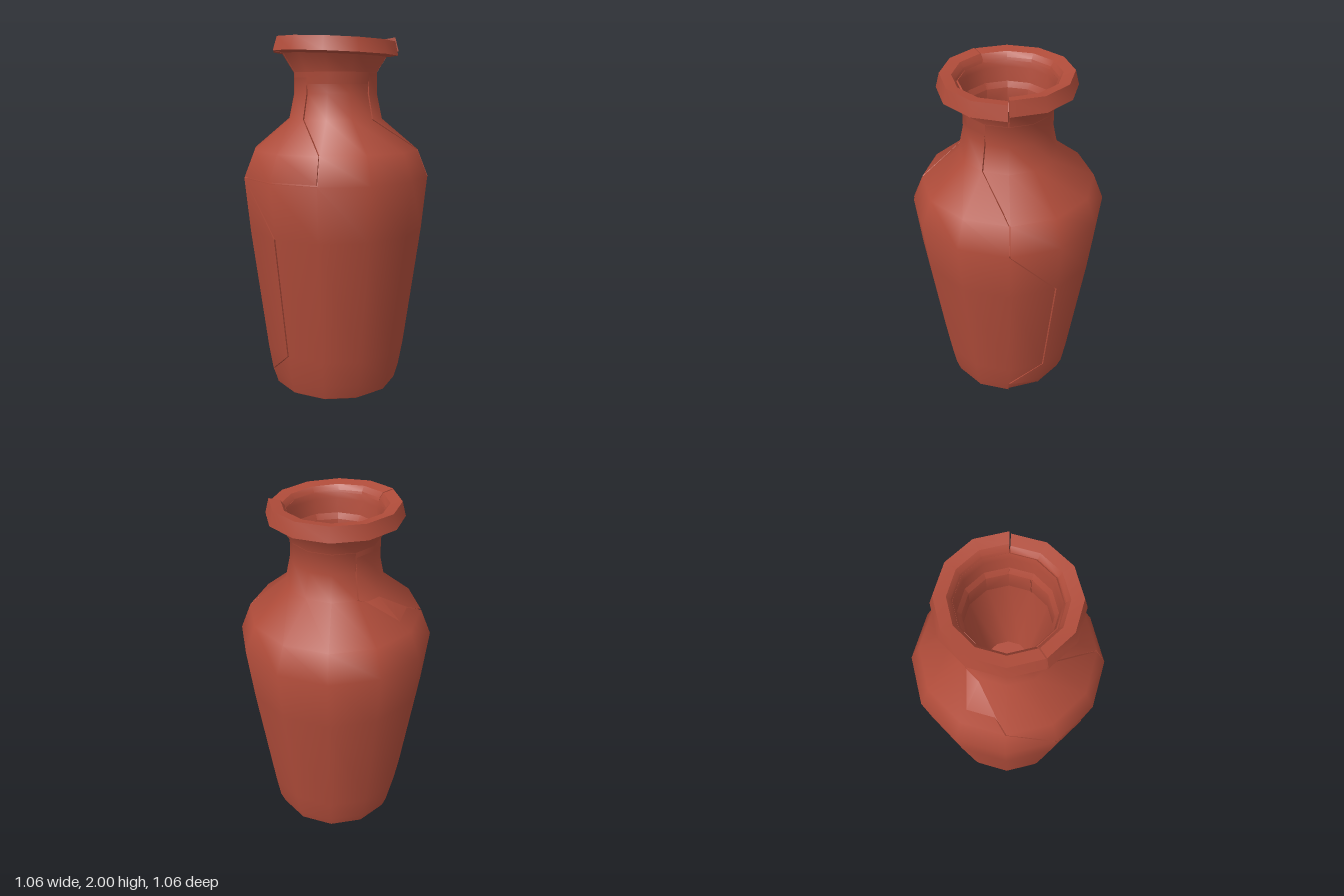
import * as THREE from 'three';
import { toCreasedNormals } from 'three/addons/utils/BufferGeometryUtils.js';

const SIDES = 12, STEP = (Math.PI * 2) / SIDES;
const clay = new THREE.MeshStandardMaterial({ color: 0xb04c3a, side: THREE.DoubleSide });

// Outer profile rings: [radius, height]
const RINGS = [
  [0.36, 0.015], [0.385, 0.1], [0.41, 0.25], [0.5, 0.94], [0.53, 1.24],
  [0.47, 1.39], [0.265, 1.56], [0.235, 1.7], [0.235, 1.81], [0.305, 1.92],
];
// Smooth profile normals, averaged from neighbouring segments
const NORMALS = RINGS.map((_, i) => {
  const n = new THREE.Vector2();
  for (const k of [i - 1, i]) {
    if (k < 0 || k + 1 >= RINGS.length) continue;
    const [r0, y0] = RINGS[k], [r1, y1] = RINGS[k + 1];
    n.add(new THREE.Vector2(y1 - y0, r0 - r1).normalize());
  }
  return n.normalize();
});

const corner = (r, col, y) =>
  new THREE.Vector3(r * Math.sin(col * STEP), y, r * Math.cos(col * STEP));

// A curved shard; each row is [ring, first column, last column, lift in y]
function shard(name, rows, puff = 0) {
  const pos = [], nor = [], idx = [];
  const add = (p, n) => { pos.push(...p.toArray()); nor.push(...n.toArray()); return pos.length / 3 - 1; };
  const grid = rows.map(([ring, a, b, lift = 0]) => {
    const r = RINGS[ring][0] + puff, y = RINGS[ring][1] + lift, n = NORMALS[ring];
    const gap = 0.004 / (r * STEP), out = [];
    for (let c = a; c <= b; c++) {
      const p = corner(r, c, y);
      // Pull the broken edges back along the facet to leave a crack
      if (c === a) p.lerp(corner(r, c + 1, y), gap);
      if (c === b) p.lerp(corner(r, c - 1, y), gap);
      const normal = corner(n.x, c, n.y);
      out.push({ c, p, i: add(p, normal) });
    }
    return out;
  });
  for (let k = 0; k + 1 < grid.length; k++) {
    const lo = grid[k], hi = grid[k + 1];
    let i = 0, j = 0;
    while (i < lo.length - 1 || j < hi.length - 1) {
      const lowNext = j === hi.length - 1 || (i < lo.length - 1 && lo[i].c <= hi[j].c);
      if (lowNext) { idx.push(lo[i].i, lo[i + 1].i, hi[j].i); i++; }
      else { idx.push(lo[i].i, hi[j + 1].i, hi[j].i); j++; }
    }
    // Thickness of the two broken edges
    for (const side of [0, 1]) {
      const p = (side ? lo.at(-1) : lo[0]).p, q = (side ? hi.at(-1) : hi[0]).p;
      const inward = (v) => new THREE.Vector3(v.x, 0, v.z).setLength(-0.02).add(v);
      const n = q.clone().sub(p).cross(inward(p).sub(p)).normalize().multiplyScalar(side ? -1 : 1);
      const [a, b, c, d] = [p, q, inward(q), inward(p)].map((v) => add(v, n));
      if (side) idx.push(a, c, b, a, d, c);
      else idx.push(a, b, c, a, c, d);
    }
  }
  const g = new THREE.BufferGeometry();
  g.setAttribute('position', new THREE.Float32BufferAttribute(pos, 3));
  g.setAttribute('normal', new THREE.Float32BufferAttribute(nor, 3));
  g.setIndex(idx);
  const mesh = new THREE.Mesh(g, clay);
  mesh.name = name;
  return mesh;
}

const lathe = (points, first = 0, count = SIDES) => toCreasedNormals(
  new THREE.LatheGeometry(points.map((p) => new THREE.Vector2(...p)), count, first * STEP, count * STEP), 0.6);

// A piece of the rim with closed ends
function rimPiece(name, first, count) {
  const section = [[0.3, 1.915], [0.355, 1.925], [0.335, 2], [0.275, 1.99], [0.255, 1.965], [0.245, 1.93], [0.3, 1.915]];
  const piece = new THREE.Group();
  piece.name = name;
  piece.add(new THREE.Mesh(lathe(section, first, count), clay));
  const shape = new THREE.Shape(section.map((p) => new THREE.Vector2(...p)));
  for (const col of [first, first + count]) {
    const cap = new THREE.Mesh(new THREE.ShapeGeometry(shape), clay);
    cap.rotation.y = col * STEP - Math.PI / 2;
    piece.add(cap);
  }
  return piece;
}

export function createModel() {
  const vase = new THREE.Group();
  vase.name = 'crackedVase';

  // Inner core: base, backing behind the cracks, and the hollow mouth
  const backing = RINGS.slice(1).map(([r, y]) => [r - 0.016, y]);
  const core = new THREE.Mesh(lathe([
    [0, 0], [0.335, 0], [0.345, 0.015], ...backing,
    [0.25, 1.95], [0.24, 1.92], [0.235, 1.75], [0.125, 1.2], [0, 1.2],
  ]), clay);
  core.name = 'core';
  vase.add(core);

  // Body shards, split along the cracks
  vase.add(
    shard('frontLowerShard', [[0, -2, 3], [1, -2, 3], [2, -1, 4], [3, -1, 4], [4, -2, 3]]),
    shard('frontUpperShard', [[4, 0, 3], [5, 0, 3], [6, -1, 2], [7, -1, 2], [8, -1, 2]]),
    shard('backShard', [[0, 4, 10, 0.015], [1, 3, 10], [2, 4, 11], [3, 4, 11], [4, 3, 10],
      [5, 3, 9], [6, 2, 7], [7, 2, 7], [8, 2, 7]], 0.002),
    shard('shoulderShard', [[4, 10, 12, 0.01], [5, 9, 12], [6, 7, 11], [7, 7, 11], [8, 7, 11]], 0.001),
    shard('frontFlareShard', [[8, -2, 3], [9, -2, 3]]),
    shard('backFlareShard', [[8, 3, 10], [9, 3, 10]]),
  );

  // Rim: steady back part and a slightly slipped front part
  vase.add(rimPiece('backRim', 3, 7));
  const frontRim = rimPiece('frontRim', -2, 5);
  frontRim.rotation.z = -0.04;
  frontRim.position.set(-0.078, -0.007, 0.006);
  vase.add(frontRim);
  return vase;
}
